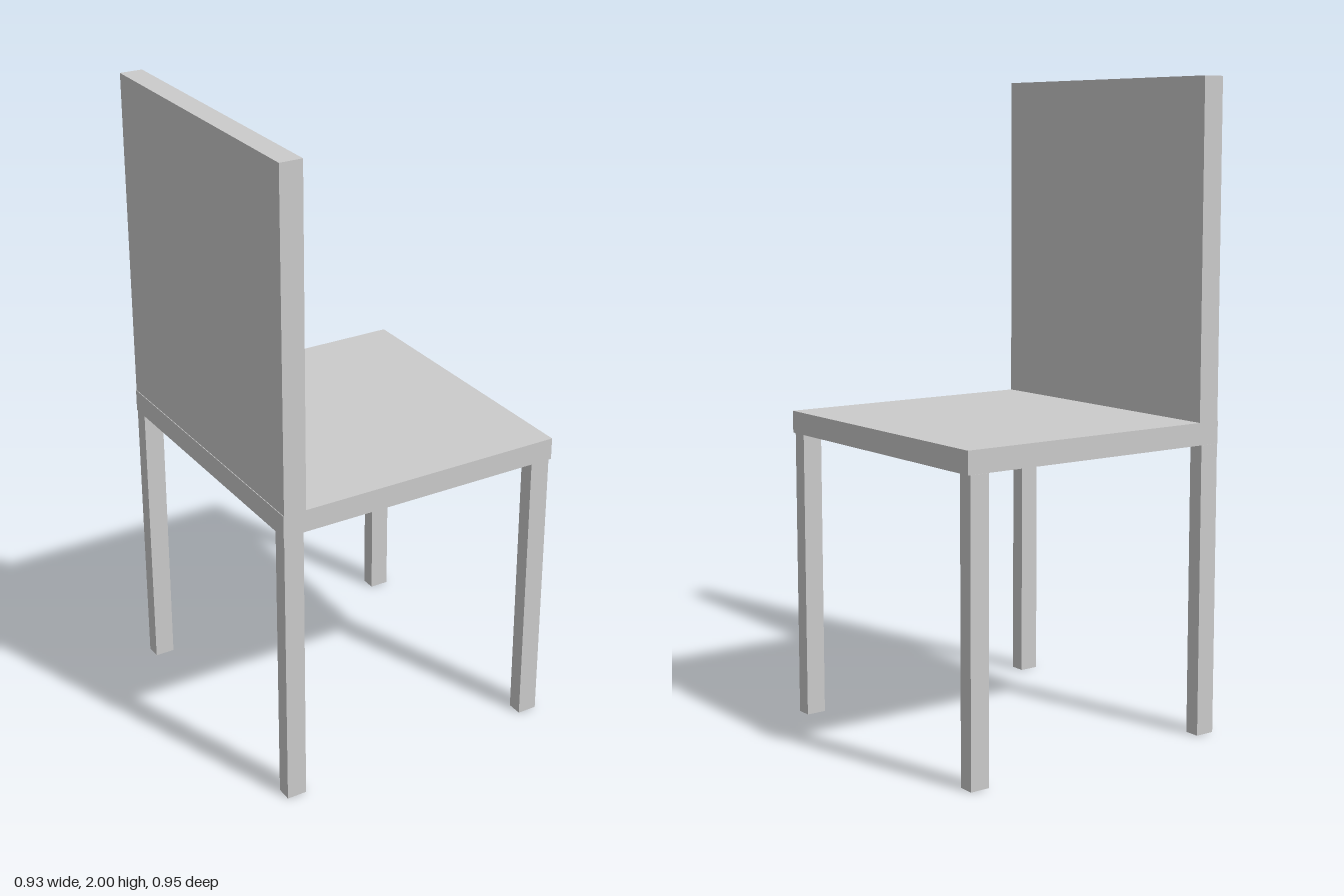
import * as THREE from 'three';

const material = new THREE.MeshStandardMaterial({ color: 0xcccccc, flatShading: true });

// Box given by its lower and upper corners
function block(name, [x0, y0, z0], [x1, y1, z1]) {
  const mesh = new THREE.Mesh(new THREE.BoxGeometry(x1 - x0, y1 - y0, z1 - z0), material);
  mesh.name = name;
  mesh.position.set((x0 + x1) / 2, (y0 + y1) / 2, (z0 + z1) / 2);
  return mesh;
}

export function createModel() {
  const chair = new THREE.Group();
  chair.name = 'chair';

  // Seat slab, and the backrest standing on its -x edge
  chair.add(block('seat', [-0.463, 0.904, -0.473], [0.463, 0.973, 0.474]));
  chair.add(block('backrest', [-0.461, 0.973, -0.473], [-0.39, 2, 0.474]));

  // Four legs, one under each corner
  for (const [xName, x] of [['back', -0.46], ['front', 0.393]]) {
    for (const [zName, z] of [['Right', -0.474], ['Left', 0.422]]) {
      chair.add(block(`${xName}${zName}Leg`, [x, 0, z], [x + 0.063, 0.904, z + 0.049]));
    }
  }
  return chair;
}
